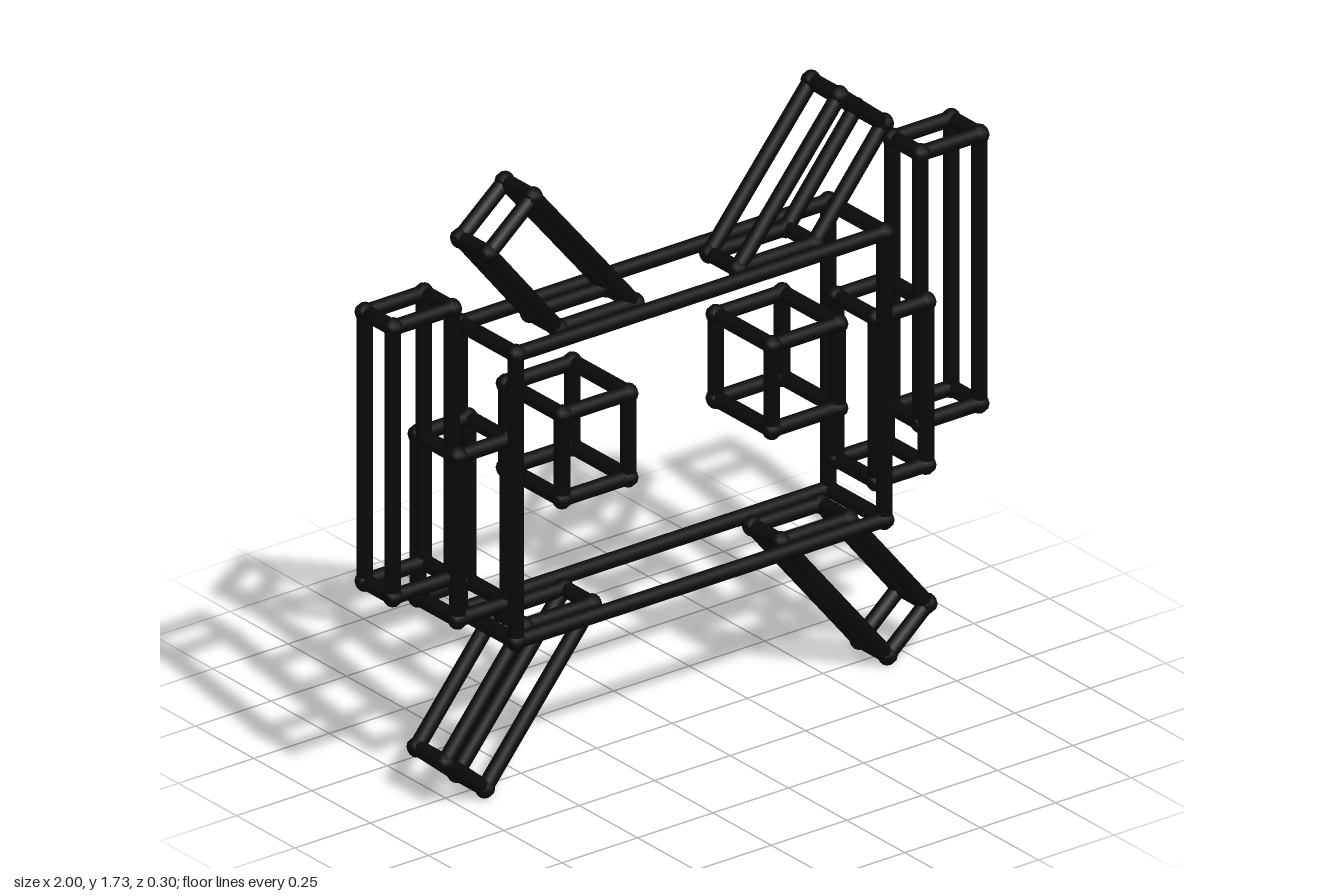
import * as THREE from 'three';

const material = new THREE.MeshStandardMaterial({ color: 0x0a0a0a });
const BAR = 0.022, JOINT = 0.028;
const UP = new THREE.Vector3(0, 1, 0);
const jointGeometry = new THREE.SphereGeometry(JOINT, 8, 6);

// Round bar between two points
function bar(a, b) {
  const dir = b.clone().sub(a);
  const mesh = new THREE.Mesh(new THREE.CylinderGeometry(BAR, BAR, dir.length(), 8, 1, true), material);
  mesh.position.copy(a).add(b).multiplyScalar(0.5);
  mesh.quaternion.setFromUnitVectors(UP, dir.normalize());
  mesh.name = 'bar';
  return mesh;
}

// Open cage: a four-cornered outline at z = +depth and -depth, joined by cross bars
function cage(name, outline, depth, side = 1) {
  const group = new THREE.Group();
  group.name = name;
  const [front, back] = [depth, -depth].map(z => outline.map(([x, y]) => new THREE.Vector3(x * side, y, z)));
  for (let i = 0; i < 4; i++) {
    const j = (i + 1) % 4;
    group.add(bar(front[i], front[j]), bar(back[i], back[j]), bar(front[i], back[i]));
    for (const p of [front[i], back[i]]) {
      const joint = new THREE.Mesh(jointGeometry, material);
      joint.position.copy(p);
      joint.name = 'joint';
      group.add(joint);
    }
  }
  return group;
}

const rect = (x0, y0, x1, y1) => [[x0, y0], [x1, y0], [x1, y1], [x0, y1]];

export function createModel() {
  const model = new THREE.Group();
  model.name = 'wireFigure';
  model.add(cage('body', rect(-0.61, 0.465, 0.61, 1.298), 0.12));

  // Paired parts, mirrored left and right
  for (const [label, side] of [['left', 1], ['right', -1]]) {
    model.add(
      cage(label + 'Eye', rect(0.238, 0.834, 0.457, 1.078), 0.12, side),
      cage(label + 'Shoulder', rect(0.61, 0.564, 0.776, 1.037), 0.085, side),
      cage(label + 'Arm', rect(0.776, 0.676, 0.971, 1.457), 0.06, side),
      cage(label + 'Antenna', [[0.17, 1.298], [0.425, 1.298], [0.655, 1.581], [0.507, 1.703]], 0.06, side),
      cage(label + 'Leg', [[0.312, 0.465], [0.538, 0.465], [0.799, 0.145], [0.667, 0.033]], 0.06, side)
    );
  }
  return model;
}
